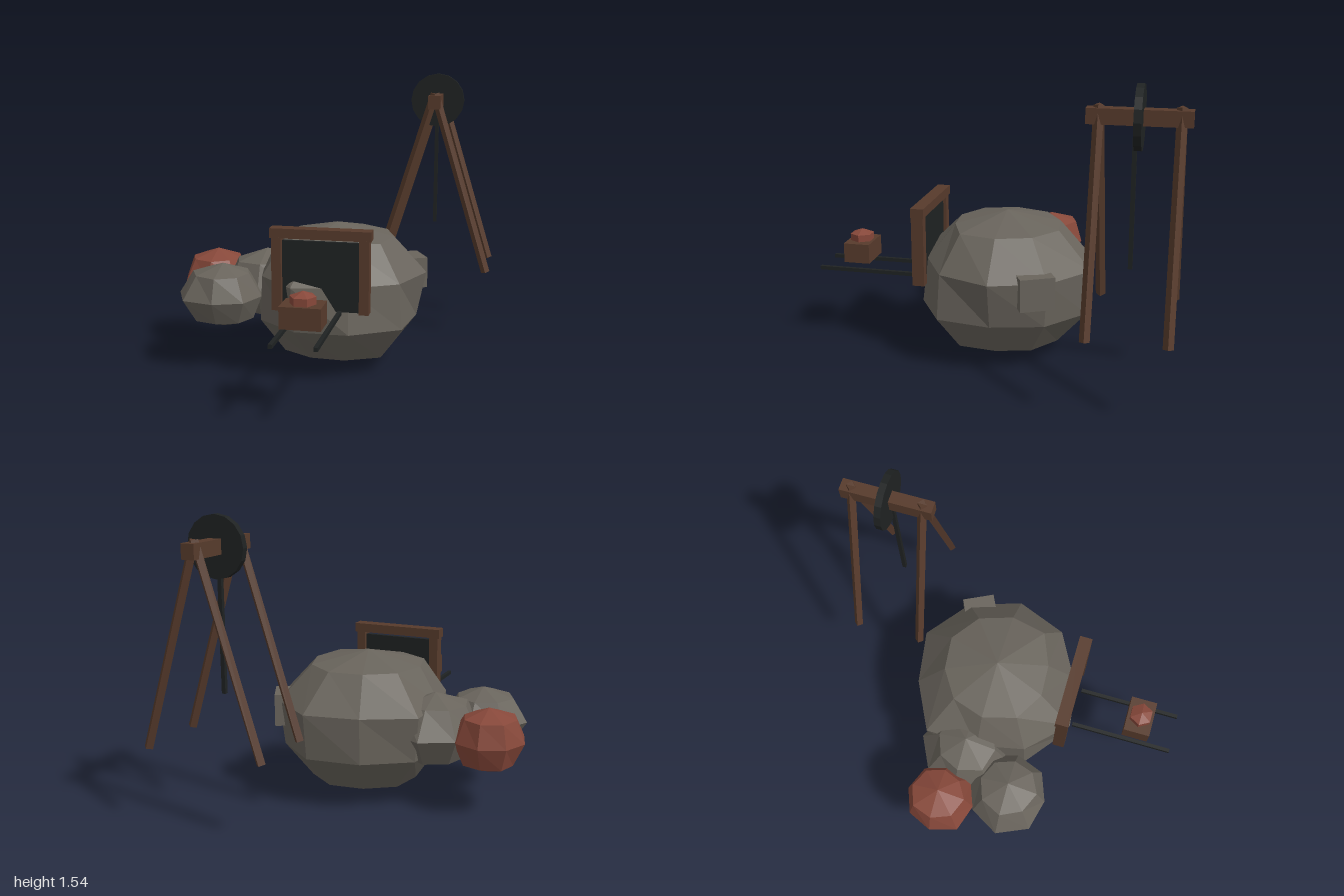
import * as THREE from 'three';

const mat = (name, color) => {
  const m = new THREE.MeshStandardMaterial({ color, flatShading: true });
  m.name = name;
  return m;
};

// Small seeded number generator for the rough rocks
function seeded(seed) {
  return () => {
    seed = (seed * 16807) % 2147483647;
    return seed / 2147483647;
  };
}

// Faceted boulder: rings of radii from top to bottom, closed at two poles
function rockGeometry(rings, top, bottom) {
  const n = rings[0].radii.length;
  const pos = [0, top, 0];
  const index = [];
  rings.forEach(({ y, radii }) => radii.forEach((r, i) => {
    const a = (i / n) * Math.PI * 2;
    pos.push(Math.cos(a) * r, y, Math.sin(a) * r);
  }));
  pos.push(0, bottom, 0);
  const last = rings.length * n + 1;
  const at = (k, i) => 1 + k * n + (i % n);
  for (let i = 0; i < n; i++) {
    index.push(0, at(0, i + 1), at(0, i));
    for (let k = 0; k < rings.length - 1; k++) {
      const a = at(k, i), b = at(k, i + 1), c = at(k + 1, i), d = at(k + 1, i + 1);
      index.push(a, b, c, b, d, c);
    }
    index.push(last, at(rings.length - 1, i), at(rings.length - 1, i + 1));
  }
  const g = new THREE.BufferGeometry();
  g.setAttribute('position', new THREE.Float32BufferAttribute(pos, 3));
  g.setIndex(index);
  const flat = g.toNonIndexed();
  flat.computeVertexNormals();
  return flat;
}

// Boulder of radius r and half height h with seeded roughness
function boulder(r, h, seed) {
  const rnd = seeded(seed);
  const rings = [1, 2, 3].map((k) => {
    const a = (k / 4) * Math.PI;
    return {
      y: Math.cos(a) * h,
      radii: Array.from({ length: 8 }, () => Math.sin(a) * r * (0.9 + rnd() * 0.2)),
    };
  });
  return rockGeometry(rings, h, -h);
}

export function createModel() {
  const root = new THREE.Group();
  root.name = 'mineEntrance';
  const stone = mat('stone', 0x69645c);
  const ore = mat('red ore', 0x87483a);
  const wood = mat('timber', 0x573b2c);
  const dark = mat('dark iron', 0x1f2222);

  const add = (name, geometry, material, x, y, z, parent = root) => {
    const m = new THREE.Mesh(geometry, material);
    m.name = name;
    m.position.set(x, y, z);
    parent.add(m);
    return m;
  };
  const box = (name, material, w, h, d, x, y, z, parent) =>
    add(name, new THREE.BoxGeometry(w, h, d), material, x, y, z, parent);

  // Main hill
  const hill = [
    { y: 0.31, radii: [0.31, 0.33, 0.28, 0.29, 0.31, 0.3, 0.3, 0.29, 0.31, 0.31] },
    { y: 0.12, radii: [0.49, 0.47, 0.43, 0.49, 0.44, 0.41, 0.5, 0.45, 0.5, 0.49] },
    { y: -0.12, radii: [0.44, 0.49, 0.46, 0.46, 0.45, 0.41, 0.47, 0.45, 0.48, 0.46] },
    { y: -0.31, radii: [0.3, 0.34, 0.3, 0.29, 0.31, 0.28, 0.3, 0.29, 0.31, 0.31] },
  ];
  add('mainRock', rockGeometry(hill, 0.38, -0.395), stone, 0.05, 0.4, -0.04);

  // Side boulders, ore boulder and square outcrop
  add('frontBoulder', boulder(0.225, 0.175, 71), stone, -0.53, 0.4, 0.19);
  add('rearBoulder', boulder(0.24, 0.2, 1234), stone, -0.36, 0.4, -0.1);
  add('oreBoulder', boulder(0.2, 0.17, 525), ore, -0.67, 0.4, -0.165);
  box('outcrop', stone, 0.17, 0.17, 0.18, 0.414, 0.475, -0.25).rotation.y = 0.46;

  // Timber doorway with dark opening
  const door = new THREE.Group();
  door.name = 'doorway';
  root.add(door);
  for (const s of [-1, 1])
    box('doorPost', wood, 0.05, 0.38, 0.065, 0.05 + s * 0.225, 0.59, 0.39, door);
  box('lintel', wood, 0.52, 0.05, 0.07, 0.05, 0.802, 0.387, door);
  box('opening', dark, 0.4, 0.36, 0.02, 0.05, 0.582, 0.385, door);

  // Rails and ore cart
  for (const s of [-1, 1])
    box('rail', dark, 0.02, 0.02, 0.565, 0.05 + s * 0.105, 0.411, 0.7175);
  box('cart', wood, 0.2, 0.108, 0.145, 0.05, 0.503, 0.79);
  const load = add('cartOre', new THREE.SphereGeometry(0.075, 6, 3), ore, 0.05, 0.57, 0.79);
  load.scale.y = 0.66;

  // Hoist: two leaning leg pairs, axle beam, wheel and rope
  const hoist = new THREE.Group();
  hoist.name = 'hoist';
  root.add(hoist);
  const lean = 0.32, rise = 1.04;
  for (const z of [-0.567, -0.945])
    for (const s of [-1, 1]) {
      const leg = add('hoistLeg',
        new THREE.CylinderGeometry(0.025, 0.025, Math.hypot(lean, rise), 4),
        wood, 0.517 + (s * lean) / 2, 0.4 + rise / 2, z, hoist);
      leg.rotation.z = s * Math.atan2(lean, rise);
    }
  box('axleBeam', wood, 0.07, 0.075, 0.49, 0.518, 1.393, -0.755, hoist);
  const wheel = add('hoistWheel', new THREE.CylinderGeometry(0.156, 0.156, 0.036, 16),
    dark, 0.518, 1.39, -0.756, hoist);
  wheel.rotation.x = Math.PI / 2;
  box('rope', dark, 0.021, 0.73, 0.021, 0.518, 1.025, -0.738, hoist);

  return root;
}
